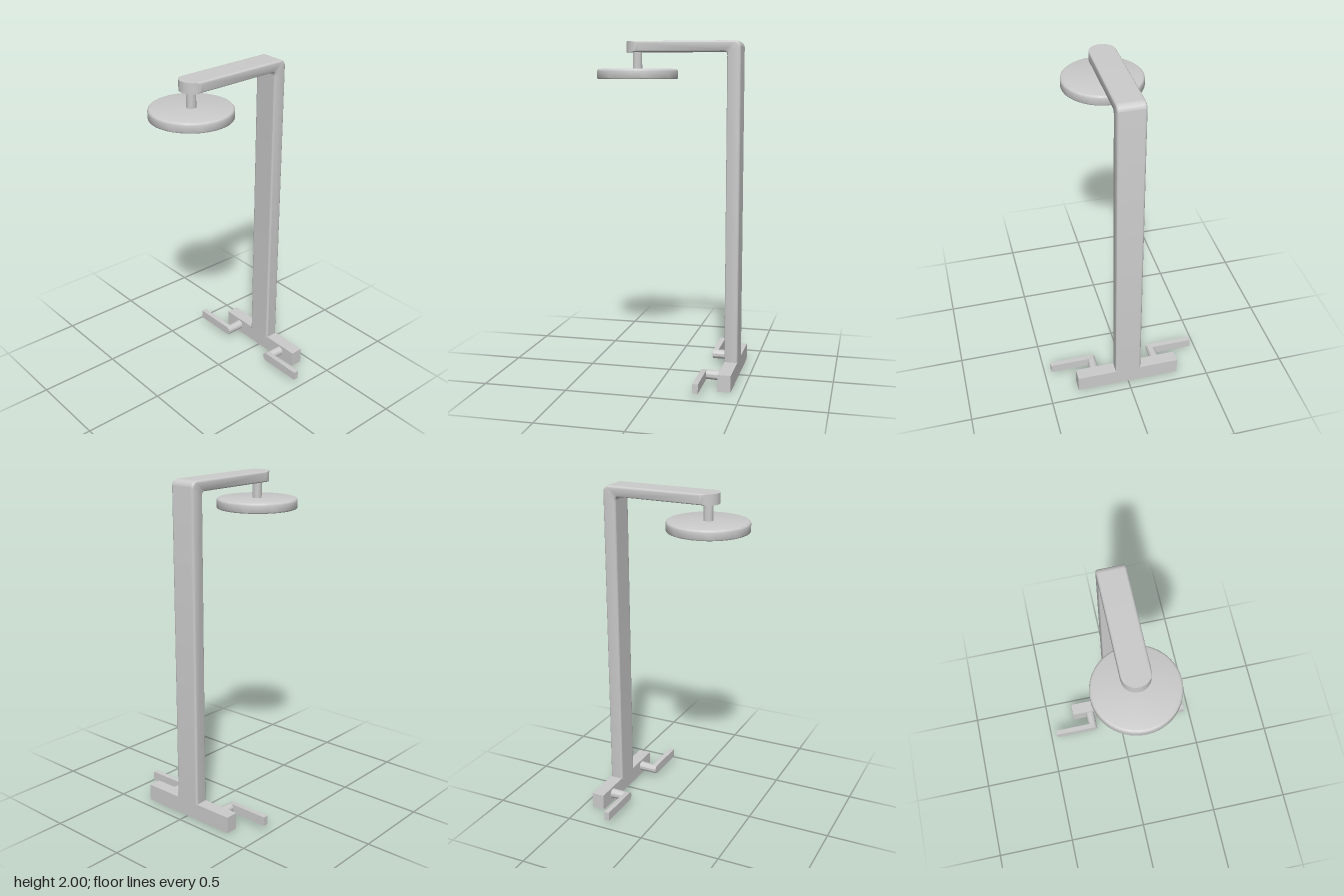
import * as THREE from 'three';
import { toCreasedNormals } from 'three/addons/utils/BufferGeometryUtils.js';

const material = new THREE.MeshStandardMaterial({ color: 0xcccccc });

function addPart(parent, name, geometry, crease = 0.6) {
  const mesh = new THREE.Mesh(toCreasedNormals(geometry, crease), material);
  mesh.name = name;
  parent.add(mesh);
  return mesh;
}

// Column and overhead arm: one bent slab with softened edges and a round tip
function columnGeometry() {
  const half = 0.08, bevel = 0.012, tip = 0.18;
  const back = -0.435, front = -0.355, top = 2, under = 1.937, foot = 0.09;
  const s = new THREE.Shape();
  s.moveTo(back, foot);
  s.lineTo(front, foot);
  s.lineTo(front, under - 0.02);
  s.quadraticCurveTo(front, under, front + 0.02, under);
  s.lineTo(tip, under);
  s.lineTo(tip, top);
  s.lineTo(back + 0.04, top);
  s.absarc(back + 0.04, top - 0.04, 0.04, Math.PI / 2, Math.PI, false);
  s.closePath();
  const depth = 2 * (half - bevel);
  const g = new THREE.ExtrudeGeometry(s, {
    depth, steps: 32, curveSegments: 8,
    bevelEnabled: true, bevelThickness: bevel, bevelSize: bevel, bevelOffset: -bevel, bevelSegments: 4,
  });
  g.translate(0, 0, -depth / 2);
  g.rotateY(-Math.PI / 2);
  // push the free end out into a half circle
  const p = g.attributes.position;
  for (let i = 0; i < p.count; i++) {
    const x = p.getX(i), z = p.getZ(i);
    if (z > 0.1) p.setZ(i, z + Math.sqrt(Math.max(0, half * half - x * x)));
  }
  return g;
}

// Tap handle: a tapered stem and a flat lever with one round end
function createHandle(name) {
  const handle = new THREE.Group();
  handle.name = name;
  const r = 0.0275, inner = 0.17;

  const stem = new THREE.CylinderGeometry(0.0265, 0.03, 0.11, 32);
  stem.rotateX(Math.PI / 2);
  const p = stem.attributes.position;
  // keep the inner side straight along the taper
  for (let i = 0; i < p.count; i++) {
    p.setX(i, p.getX(i) + inner + (p.getZ(i) > 0 ? 0.0265 : 0.03));
  }
  stem.translate(0, 0, -0.31);
  addPart(handle, 'handleStem', stem);

  const s = new THREE.Shape();
  s.moveTo(0.46, -r);
  s.lineTo(0.46, r);
  s.lineTo(inner + r, r);
  s.absarc(inner + r, 0, r, Math.PI / 2, Math.PI * 1.5, false);
  s.closePath();
  const lever = new THREE.ExtrudeGeometry(s, { depth: 0.032, bevelEnabled: false, curveSegments: 20 });
  lever.translate(0, 0, -0.272);
  addPart(handle, 'handleLever', lever);

  handle.position.y = 0.0575;
  return handle;
}

export function createModel() {
  const model = new THREE.Group();
  model.name = 'showerColumn';

  addPart(model, 'columnAndArm', columnGeometry());

  // Mixer bar at the foot
  const bar = addPart(model, 'mixerBar', new THREE.BoxGeometry(0.64, 0.1, 0.077));
  bar.position.set(0, 0.05, -0.3965);

  // Handles, the second turned half round to face the other way
  const left = createHandle('leftHandle');
  const right = createHandle('rightHandle');
  right.rotation.z = Math.PI;
  model.add(left, right);

  // Round shower head with softened rims
  const profile = [
    [0, 1.78], [0.233, 1.78], [0.238, 1.782], [0.24, 1.787],
    [0.24, 1.825], [0.238, 1.833], [0.233, 1.838], [0.226, 1.84], [0, 1.84],
  ].map(([r, y]) => new THREE.Vector2(r, y));
  const head = addPart(model, 'showerHead', new THREE.LatheGeometry(profile, 64), 0.9);
  head.position.z = 0.195;

  // Neck joining head and arm
  const neck = addPart(model, 'neck', new THREE.CylinderGeometry(0.028, 0.028, 0.13, 32));
  neck.position.set(0, 1.89, 0.195);

  return model;
}
